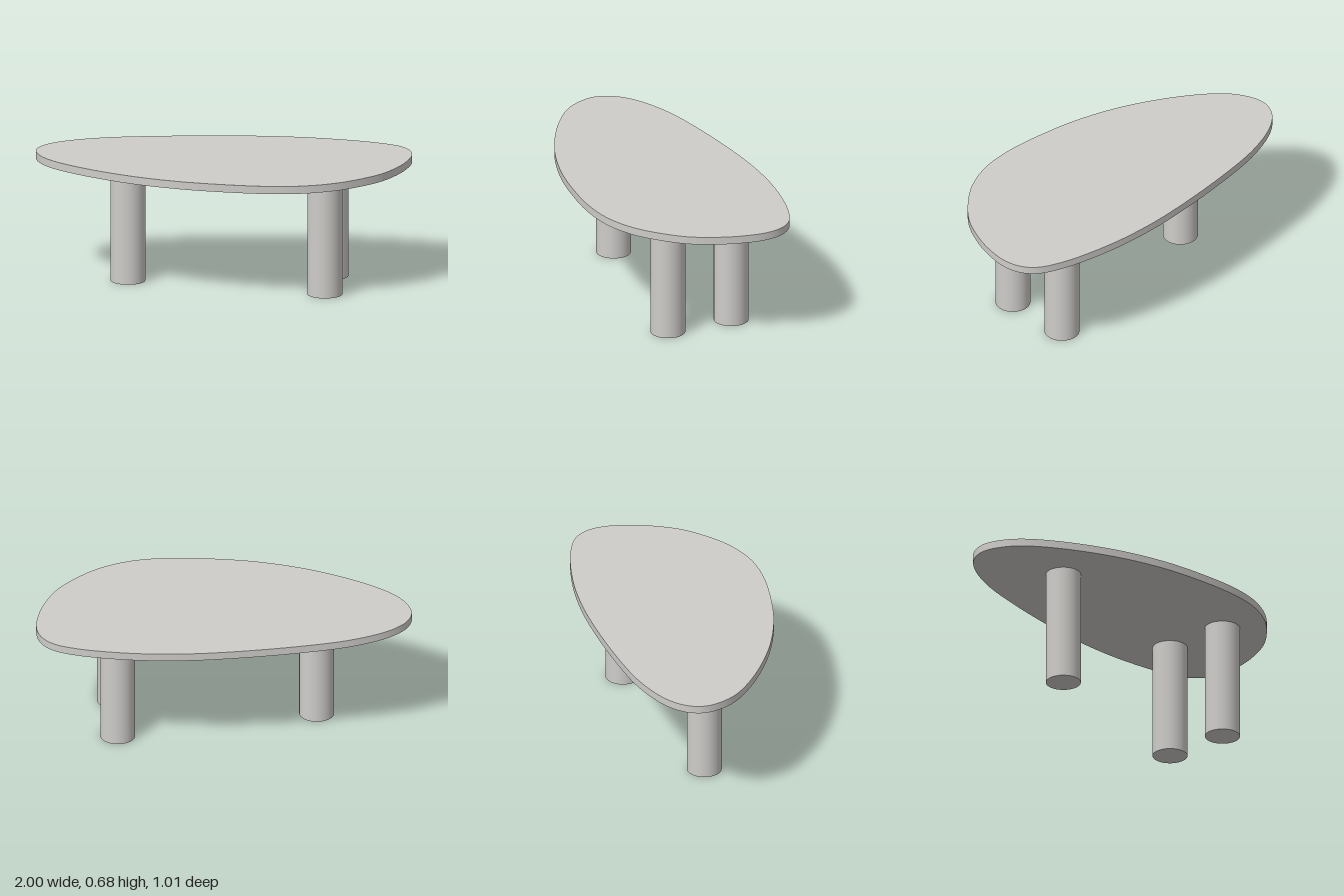
import * as THREE from 'three';
import { toCreasedNormals } from 'three/addons/utils/BufferGeometryUtils.js';

const TOP_Y = 0.675, THICKNESS = 0.042, LEG_RADIUS = 0.093;

// Table edge as [x, z] points, clockwise from the narrow end
const OUTLINE = [
  [-1, -0.14], [-0.965, -0.23], [-0.87, -0.315], [-0.67, -0.4], [-0.4, -0.455],
  [0, -0.5], [0.25, -0.508], [0.5, -0.49], [0.78, -0.432], [0.92, -0.368],
  [0.98, -0.29], [1, -0.19], [0.98, -0.05], [0.935, 0.08], [0.87, 0.2],
  [0.77, 0.31], [0.64, 0.41], [0.47, 0.48], [0.27, 0.502], [0, 0.48],
  [-0.22, 0.438], [-0.48, 0.348], [-0.75, 0.2], [-0.92, 0.06], [-0.985, -0.05],
];

export function createModel() {
  const group = new THREE.Group();
  const stone = new THREE.MeshStandardMaterial({ name: 'warm grey', color: 0xcfcdca });

  // Tabletop: smooth asymmetric slab
  const curve = new THREE.CatmullRomCurve3(
    OUTLINE.map(([x, z]) => new THREE.Vector3(x, z, 0)), true, 'centripetal');
  const points = curve.getPoints(160).slice(0, -1).map((p) => new THREE.Vector2(p.x, p.y));
  const slab = new THREE.ExtrudeGeometry(new THREE.Shape(points), { depth: THICKNESS, bevelEnabled: false });
  slab.rotateX(Math.PI / 2).translate(0, TOP_Y, 0);
  const top = new THREE.Mesh(toCreasedNormals(slab, 0.6), stone);
  top.name = 'tabletop';
  group.add(top);

  // Three cylindrical legs
  const height = TOP_Y - THICKNESS;
  const legGeometry = new THREE.CylinderGeometry(LEG_RADIUS, LEG_RADIUS, height, 64);
  const legs = { narrowEndLeg: [-0.5, -0.01], frontLeg: [0.567, 0.175], backLeg: [0.567, -0.197] };
  for (const [name, [x, z]] of Object.entries(legs)) {
    const leg = new THREE.Mesh(legGeometry, stone);
    leg.name = name;
    leg.position.set(x, height / 2, z);
    group.add(leg);
  }
  return group;
}
